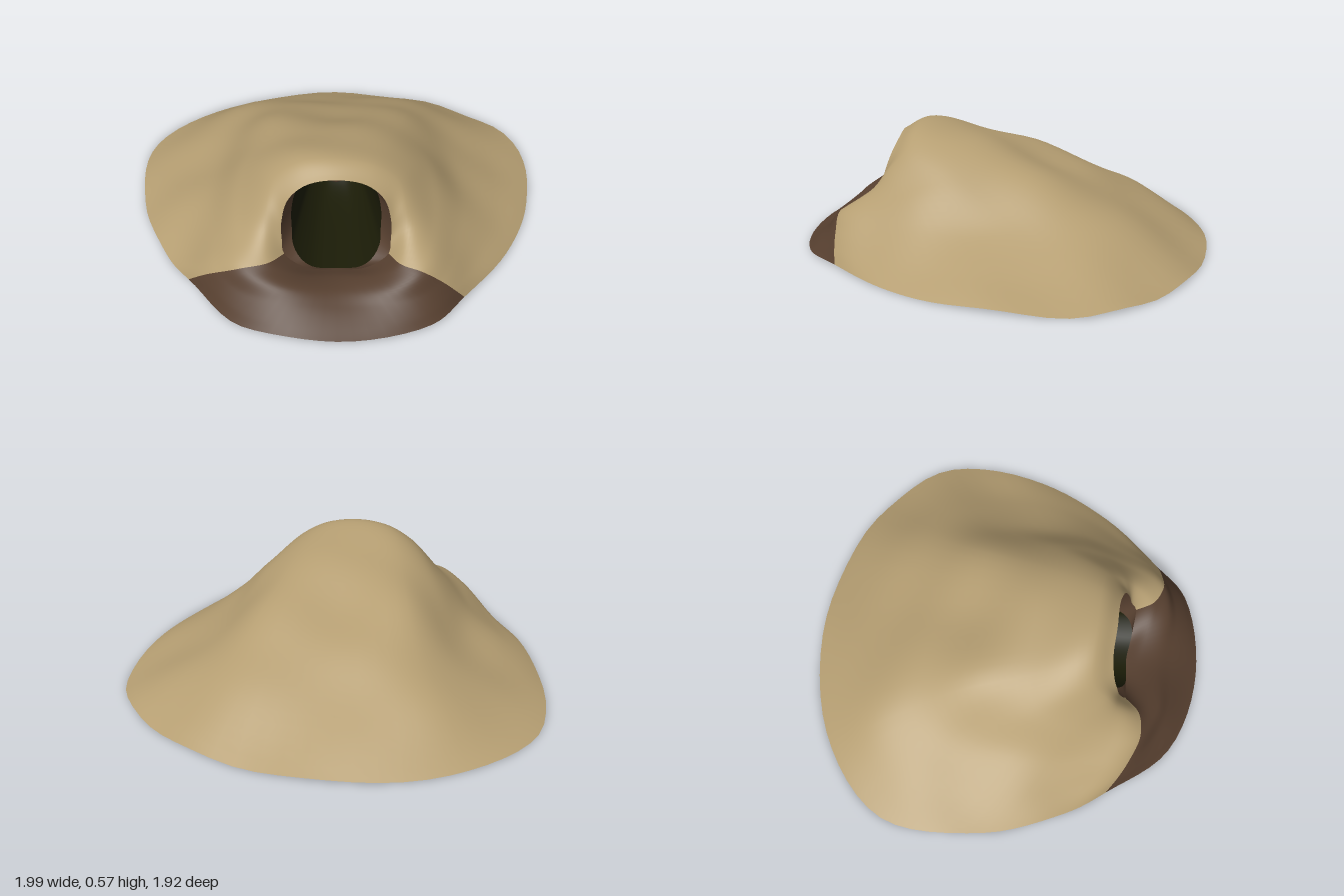
import * as THREE from 'three';

const material = (name, color) => {
  const m = new THREE.MeshStandardMaterial({ color, side: THREE.DoubleSide });
  m.name = name;
  return m;
};

// Ridge lines running from the burrow mouth out to the ground edge, [x, y, z],
// ordered from the back round one side to the front
const SPOKES = [
  [[0, .522, .5], [0, .567, .4], [0, .502, .1], [0, .335, -.32], [0, .205, -.6], [0, .01, -.97]],
  [[.13, .495, .5], [.17, .545, .4], [.26, .475, .1], [.37, .325, -.3], [.48, .185, -.57], [.6, .01, -.83]],
  [[.21, .43, .52], [.28, .475, .42], [.41, .385, .16], [.56, .21, -.13], [.75, .1, -.31], [.965, .01, -.48]],
  [[.24, .33, .55], [.31, .39, .5], [.45, .315, .36], [.6, .185, .24], [.77, .09, .14], [.955, .01, .03]],
  [[.24, .25, .57], [.32, .3, .57], [.43, .25, .55], [.55, .165, .51], [.67, .08, .46], [.8, .01, .4]],
  [[.23, .19, .6], [.29, .203, .68], [.39, .195, .71], [.49, .13, .69], [.56, .07, .665], [.62, .01, .635]],
  [[.13, .105, .6], [.18, .145, .69], [.24, .145, .77], [.3, .105, .81], [.36, .055, .845], [.41, .01, .86]],
  [[0, .085, .59], [0, .11, .66], [0, .11, .74], [0, .08, .82], [0, .05, .89], [0, .02, .955]],
];
const LAST = SPOKES.length - 1;
const BORDER = 5;                 // spoke where bare soil begins
const STEPS = 6;                  // columns between neighbouring spokes
const COLUMNS = LAST * 2 * STEPS;
const ROWS = 36;

// Closed loop around the mound at fraction t from mouth to ground edge
function loopAt(curves, t) {
  const half = curves.map(c => c.getPoint(t));
  const mirrored = half.slice(1, -1).reverse().map(p => new THREE.Vector3(-p.x, p.y, p.z));
  const points = [...half, ...mirrored];
  // the soil reaches further back on one side than on the other
  for (const p of [points[BORDER], points[2 * LAST - BORDER]]) {
    p.z += p.x * 0.09 * t;
    p.x -= 0.05 * t;
  }
  const loop = new THREE.CatmullRomCurve3(points, true);
  return Array.from({ length: COLUMNS }, (_, i) => loop.getPoint(i / COLUMNS));
}

// Skin a list of closed loops; groupOf picks the material slot for each column
function skin(loops, groupOf = () => 0) {
  const geometry = new THREE.BufferGeometry().setFromPoints(loops.flat());
  const faces = [[], []];
  for (let r = 0; r < loops.length - 1; r++) {
    for (let i = 0; i < COLUMNS; i++) {
      const a = r * COLUMNS + i, b = r * COLUMNS + (i + 1) % COLUMNS;
      faces[groupOf(i)].push(a, b, a + COLUMNS, b, b + COLUMNS, a + COLUMNS);
    }
  }
  geometry.setIndex(faces.flat());
  geometry.addGroup(0, faces[0].length, 0);
  geometry.addGroup(faces[0].length, faces[1].length, 1);
  geometry.computeVertexNormals();
  return geometry;
}

export function createModel() {
  const sand = material('sand', 0xb59e72);
  const soil = material('dark soil', 0x563f2f);
  const shade = material('tunnel shade', 0x1b1c07);
  const group = new THREE.Group();
  group.name = 'burrow';
  const add = (name, geometry, materials) => {
    const mesh = new THREE.Mesh(geometry, materials);
    mesh.name = name;
    group.add(mesh);
  };

  const curves = SPOKES.map(s => new THREE.CatmullRomCurve3(s.map(p => new THREE.Vector3(...p))));

  // Mound with gentle lumps, and the soil apron in front of the mouth
  const mound = [];
  for (let r = 0; r <= ROWS; r++) {
    const t = r / ROWS;
    const lump = 0.005 * Math.sin(Math.PI * t);
    mound.push(loopAt(curves, t).map(p => {
      p.y += lump * (Math.sin(p.x * 13 + p.z * 5) + Math.sin(p.z * 15 - p.x * 7 + 1));
      p.y += 0.007 * t * Math.sin(p.x * 9 + p.z * 11);
      return p;
    }));
  }
  const isSoil = i => (i >= BORDER * STEPS && i < COLUMNS - BORDER * STEPS ? 1 : 0);
  add('moundAndApron', skin(mound, isSoil), [sand, soil]);

  // Soil lip just inside the mouth, deepest at the sides
  const rim = mound[0];
  const inner = rim.map(p => new THREE.Vector3(
    p.x * 0.83, 0.3 + (p.y - 0.3) * 0.96,
    p.z - Math.abs(p.x) * 0.36 * THREE.MathUtils.smoothstep(p.y, 0.1, 0.26)));
  add('mouthLip', skin([inner, rim]), [soil, soil]);

  // Tapering tunnel with a rounded end, sinking as it runs back into the mound
  const tunnel = [];
  for (let r = 0; r <= 18; r++) {
    const s = Math.sin((1 - r / 18) * Math.PI / 2);
    const size = (1 - 0.42 * s) * Math.sqrt(Math.max(0, 1 - s ** 6));
    const centre = 0.3 - 0.07 * s;
    tunnel.push(inner.map(p => new THREE.Vector3(
      p.x * size, centre + (p.y - 0.3) * size, THREE.MathUtils.lerp(p.z, -0.06, s))));
  }
  add('tunnel', skin(tunnel), [shade, shade]);

  return group;
}
